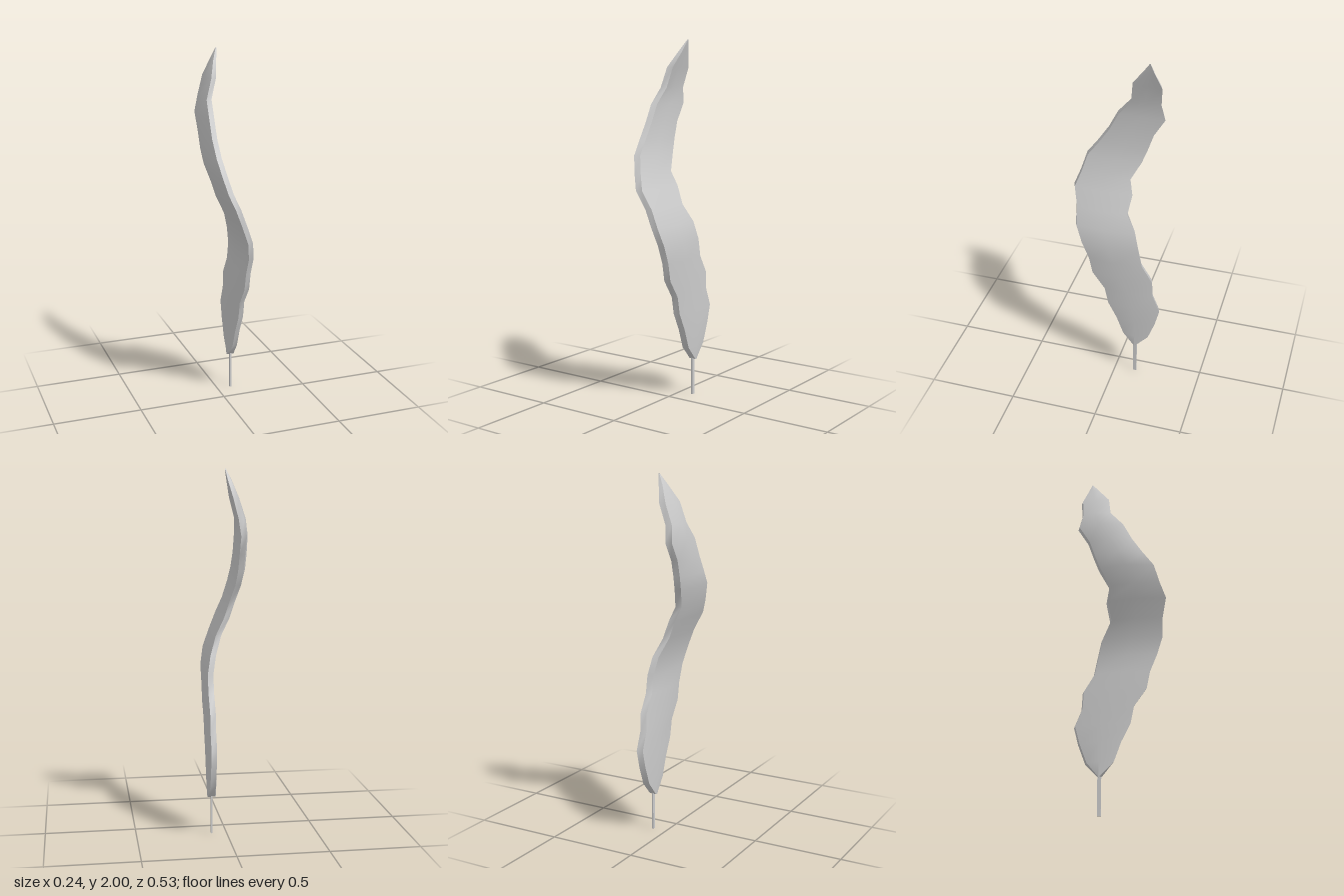
import * as THREE from 'three';

// Blade stations: height, front z, back z, centre x, half thickness at midrib
const rows = [
  [0.21, -0.115, -0.125, 0.082, 0.024],
  [0.29, -0.04, -0.2, 0.083, 0.028],
  [0.4, 0.0, -0.24, 0.084, 0.031],
  [0.5, 0.05, -0.265, 0.085, 0.032],
  [0.6, 0.07, -0.225, 0.085, 0.033],
  [0.7, 0.14, -0.22, 0.086, 0.033],
  [0.8, 0.16, -0.16, 0.087, 0.033],
  [0.9, 0.2, -0.14, 0.088, 0.033],
  [1.0, 0.235, -0.115, 0.07, 0.031],
  [1.1, 0.24, -0.06, 0.034, 0.029],
  [1.2, 0.265, -0.075, -0.01, 0.03],
  [1.28, 0.235, -0.055, -0.043, 0.031],
  [1.38, 0.205, -0.11, -0.075, 0.035],
  [1.46, 0.145, -0.14, -0.088, 0.034],
  [1.55, 0.085, -0.17, -0.092, 0.031],
  [1.65, 0.035, -0.23, -0.091, 0.028],
  [1.74, -0.04, -0.21, -0.08, 0.023],
  [1.85, -0.055, -0.22, -0.046, 0.019],
  [1.94, -0.12, -0.185, -0.012, 0.012],
  [2.0, -0.16, -0.165, 0.012, 0.003],
];

// Six-sided lens section, running from the front edge round the left side
function section([y, zf, zb, x, thick]) {
  const edge = Math.min(0.016 + (y < 0.25 ? 0.005 : 0), thick * 0.8);
  const cup = 0.012 * THREE.MathUtils.smoothstep(y, 1.2, 1.5) * Math.min(1, (2 - y) * 5);
  const skew = Math.min(0.012, (zf - zb) * 0.1);
  const mid = (zf + zb) / 2;
  return [
    [x + cup + edge, y, zf - skew], [x + thick, y, mid], [x + cup + edge, y, zb],
    [x + cup - edge, y, zb + skew], [x - thick, y, mid], [x + cup - edge, y, zf],
  ];
}

// Smooth strip through chosen section corners; separate strips keep edges sharp
function strip(corners) {
  const n = corners.length, pos = [], index = [];
  rows.forEach((row, i) => {
    const s = section(row);
    corners.forEach((c) => pos.push(...s[c]));
    if (i === 0) return;
    for (let j = 0; j < n - 1; j++) {
      const a = (i - 1) * n + j, d = a + n;
      index.push(a, a + 1, d + 1, a, d + 1, d);
    }
  });
  const g = new THREE.BufferGeometry();
  g.setAttribute('position', new THREE.Float32BufferAttribute(pos, 3));
  g.setIndex(index);
  g.computeVertexNormals();
  return g;
}

export function createModel() {
  const group = new THREE.Group();
  const material = new THREE.MeshStandardMaterial({ color: 0xcccccc, side: THREE.DoubleSide });

  // Leaf blade: two broad faces and two blunt edges
  const blade = new THREE.Group();
  blade.name = 'leafBlade';
  const parts = { leftFace: [0, 1, 2], backEdge: [2, 3], rightFace: [3, 4, 5], frontEdge: [5, 0] };
  for (const [name, corners] of Object.entries(parts)) {
    const mesh = new THREE.Mesh(strip(corners), material);
    mesh.name = name;
    blade.add(mesh);
  }
  group.add(blade);

  // Thin flat stem
  const stem = new THREE.Mesh(new THREE.BoxGeometry(0.009, 0.23, 0.02), material);
  stem.name = 'stem';
  stem.position.set(0.082, 0.115, -0.12);
  group.add(stem);

  return group;
}
